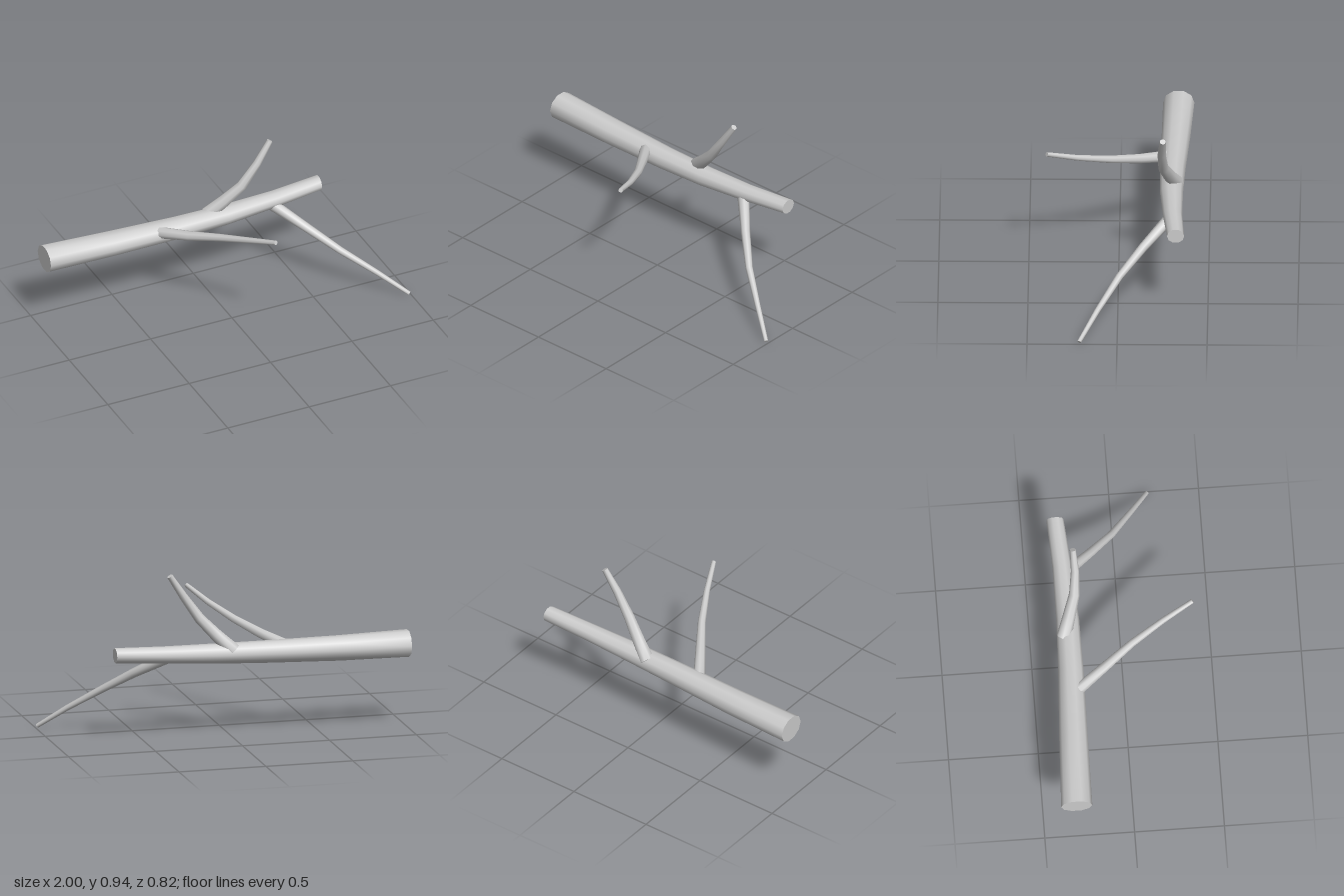
import * as THREE from 'three';

// Tapered limb: rings of [x, y, z, radius] joined into a smooth skin with flat end caps.
// squash flattens each ring vertically.
function limb(name, rings, sides, material, squash = 1, axis = null) {
  const pos = [], idx = [];
  const pts = rings.map(([x, y, z]) => new THREE.Vector3(x, y, z));
  const up = new THREE.Vector3(0, 1, 0);
  const last = rings.length - 1;

  rings.forEach((ring, i) => {
    const t = axis ? axis.clone()
      : pts[Math.min(i + 1, last)].clone().sub(pts[Math.max(i - 1, 0)]).normalize();
    const s = t.clone().cross(up).normalize();
    const u = s.clone().cross(t);
    for (let j = 0; j < sides; j++) {
      const a = (j / sides) * Math.PI * 2;
      const p = pts[i].clone()
        .addScaledVector(s, Math.cos(a) * ring[3])
        .addScaledVector(u, Math.sin(a) * ring[3] * squash);
      pos.push(p.x, p.y, p.z);
    }
  });
  for (let i = 0; i < last; i++) {
    for (let j = 0; j < sides; j++) {
      const a = i * sides + j, b = i * sides + (j + 1) % sides;
      idx.push(a, a + sides, b, b, a + sides, b + sides);
    }
  }

  // End caps use their own vertices so the rim stays sharp
  for (const end of [0, last]) {
    const base = pos.length / 3;
    pos.push(...pts[end].toArray());
    pos.push(...pos.slice(end * sides * 3, (end + 1) * sides * 3));
    for (let j = 0; j < sides; j++) {
      const a = base + 1 + j, b = base + 1 + (j + 1) % sides;
      if (end === 0) idx.push(base, a, b);
      else idx.push(base, b, a);
    }
  }

  const g = new THREE.BufferGeometry();
  g.setAttribute('position', new THREE.Float32BufferAttribute(pos, 3));
  g.setIndex(idx);
  g.computeVertexNormals();
  const mesh = new THREE.Mesh(g, material);
  mesh.name = name;
  return mesh;
}

export function createModel() {
  const group = new THREE.Group();
  group.name = 'branch';
  const bark = new THREE.MeshStandardMaterial({ color: 0xcccccc });
  bark.name = 'pale grey bark';

  // Main stem, gently bowed and slightly flattened
  group.add(limb('mainStem', [
    [-1, 0.483, -0.322, 0.087],
    [-0.6, 0.477, -0.311, 0.08],
    [-0.2, 0.479, -0.297, 0.071],
    [0.1, 0.485, -0.293, 0.064],
    [0.4, 0.498, -0.302, 0.054],
    [0.685, 0.516, -0.322, 0.048],
  ], 10, bark, 0.88, new THREE.Vector3(1, 0, 0)));

  // Twig reaching forward
  group.add(limb('forwardTwig', [
    [-0.33, 0.495, -0.28, 0.034],
    [-0.21, 0.538, -0.11, 0.028],
    [-0.1, 0.59, 0.05, 0.022],
    [0, 0.65, 0.23, 0.017],
    [0.08, 0.712, 0.4, 0.013],
  ], 8, bark));

  // Twig curving upward
  group.add(limb('upperTwig', [
    [0, 0.5, -0.32, 0.042],
    [0.09, 0.585, -0.285, 0.036],
    [0.18, 0.68, -0.25, 0.03],
    [0.27, 0.81, -0.24, 0.023],
    [0.35, 0.932, -0.247, 0.017],
  ], 8, bark));

  // Twig drooping to the ground
  group.add(limb('lowerTwig', [
    [0.37, 0.485, -0.3, 0.034],
    [0.53, 0.365, -0.14, 0.026],
    [0.67, 0.255, -0.01, 0.021],
    [0.84, 0.13, 0.11, 0.016],
    [0.99, 0.01, 0.21, 0.012],
  ], 8, bark));

  return group;
}
